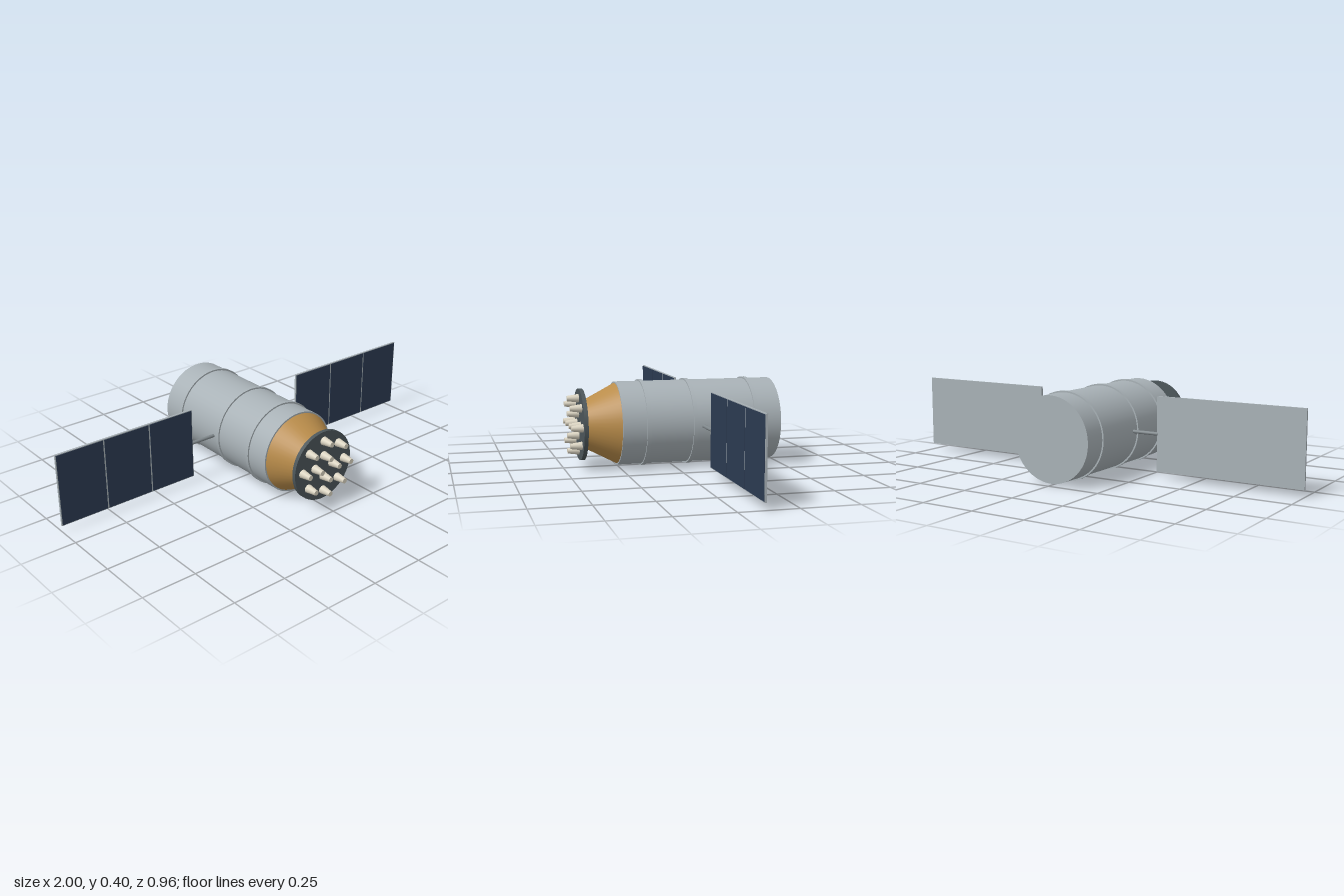
import * as THREE from 'three';

const mat = (name, color) => {
  const m = new THREE.MeshStandardMaterial({ color });
  m.name = name;
  return m;
};

export function createModel() {
  const hull = mat('hull grey', 0xa8b1b6);
  const gold = mat('gold foil', 0xb98c4a);
  const dark = mat('dark plate', 0x4c565a);
  const cream = mat('nozzle cream', 0xd9d2c0);
  const navy = mat('solar navy', 0x2c3b52);
  const steel = mat('strut grey', 0x80888c);

  const model = new THREE.Group();
  model.name = 'spacecraft';
  const craft = new THREE.Group();
  craft.name = 'craft';
  craft.position.y = 0.199;
  model.add(craft);

  const add = (name, geometry, material, x = 0, y = 0, z = 0, parent = craft) => {
    const mesh = new THREE.Mesh(geometry, material);
    mesh.name = name;
    mesh.position.set(x, y, z);
    parent.add(mesh);
    return mesh;
  };
  // Cylinder along z from z0 (radius r0) to z1 (radius r1)
  const zCylinder = (name, r0, r1, z0, z1, material, x = 0, y = 0, sides = 48) =>
    add(name, new THREE.CylinderGeometry(r1, r0, z1 - z0, sides).rotateX(Math.PI / 2),
      material, x, y, (z0 + z1) / 2);

  // Hull, its bands and the tapered nose
  zCylinder('hull', 0.191, 0.191, -0.48, 0.26, hull);
  for (const z of [0.141, -0.073, -0.361]) {
    zCylinder('hullBand', 0.198, 0.198, z - 0.009, z + 0.009, hull);
  }
  zCylinder('taper', 0.185, 0.106, 0.258, 0.41, gold);
  zCylinder('frontPlate', 0.163, 0.163, 0.409, 0.427, dark);

  // Two circles of nozzles on the front plate
  for (const [count, radius] of [[8, 0.12], [4, 0.05]]) {
    for (let i = 0; i < count; i++) {
      const a = (i / count) * Math.PI * 2;
      zCylinder('nozzle', 0.02, 0.012, 0.425, 0.48, cream,
        Math.cos(a) * radius, Math.sin(a) * radius, 16);
    }
  }

  // Solar wings, each with a strut, a backing panel and three cells
  const zWing = -0.11, inner = 0.312, outer = 1, height = 0.336, thick = 0.009;
  const pitch = (outer - inner) / 3;
  for (const side of [1, -1]) {
    const wing = new THREE.Group();
    wing.name = side > 0 ? 'leftWing' : 'rightWing';
    wing.position.z = zWing;
    craft.add(wing);
    add('strut', new THREE.CylinderGeometry(0.008, 0.008, 0.14, 16).rotateZ(Math.PI / 2),
      steel, side * 0.245, 0, 0, wing);
    add('panel', new THREE.BoxGeometry(outer - inner, height, thick),
      hull, side * (inner + outer) / 2, 0, 0, wing);
    for (let i = 0; i < 3; i++) {
      add('solarCell', new THREE.BoxGeometry(pitch - 0.007, height - 0.007, 0.002),
        navy, side * (inner + pitch * (i + 0.5)), 0, thick / 2 + 0.0005, wing);
    }
  }
  return model;
}
